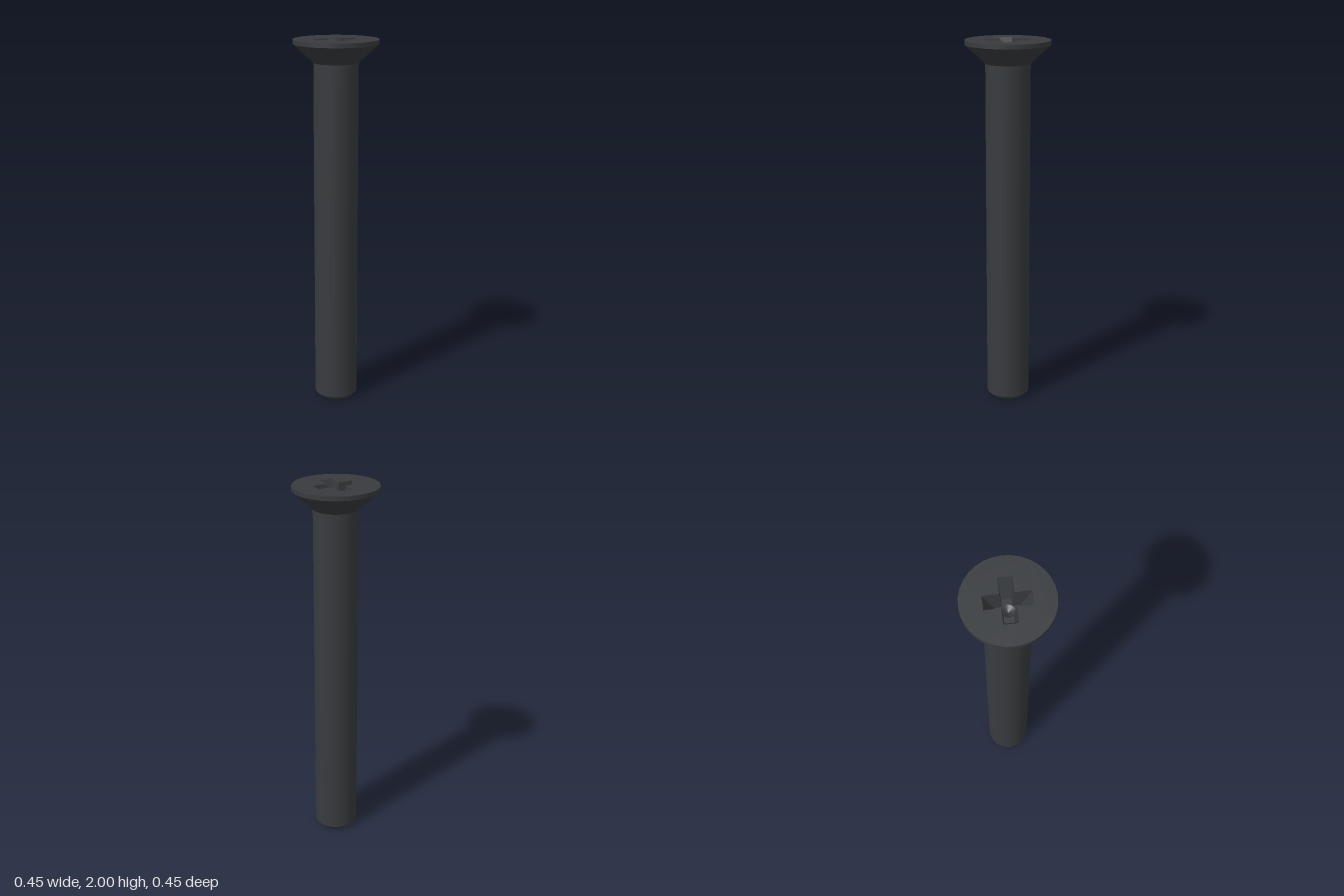
import * as THREE from 'three';

const SIDES = 32;
const HEAD_R = 0.224, SHAFT_R = 0.118;
const TOP = 2, FLOOR = 1.88, PIT_R = 0.033;

// Cross outline, counter-clockwise: arm reach and arm half-width
function crossPoints(reach, half) {
  const points = [];
  for (let i = 0; i < 4; i++) {
    for (const [x, y] of [[reach, -half], [reach, half], [half, half]]) {
      points.push(new THREE.Vector2(x, y).rotateAround(new THREE.Vector2(), i * Math.PI / 2));
    }
  }
  return points;
}

function circlePoints(radius) {
  return Array.from({ length: SIDES }, (_, i) => {
    const a = i / SIDES * Math.PI * 2;
    return new THREE.Vector2(radius * Math.cos(a), radius * Math.sin(a));
  });
}

// Horizontal face pointing up, with one hole
function flatFace(outline, hole, y) {
  const shape = new THREE.Shape(outline);
  shape.holes.push(new THREE.Path(hole));
  return new THREE.ShapeGeometry(shape).rotateX(-Math.PI / 2).translate(0, y, 0);
}

// Inward-facing walls between two matching outlines
function recessWalls(upper, lower) {
  const positions = [];
  const at = (p, y) => [p.x, y, -p.y];
  upper.forEach((p, i) => {
    const j = (i + 1) % upper.length;
    const a = at(p, TOP), b = at(upper[j], TOP);
    const c = at(lower[j], FLOOR), d = at(lower[i], FLOOR);
    positions.push(...a, ...b, ...c, ...a, ...c, ...d);
  });
  const geometry = new THREE.BufferGeometry();
  geometry.setAttribute('position', new THREE.Float32BufferAttribute(positions, 3));
  geometry.computeVertexNormals();
  return geometry;
}

export function createModel() {
  const group = new THREE.Group();
  const material = new THREE.MeshStandardMaterial({ color: 0x383b3e });

  const add = (name, geometry) => {
    const mesh = new THREE.Mesh(geometry, material);
    mesh.name = name;
    group.add(mesh);
  };
  // One ring per profile segment keeps the edges between rings sharp
  const ring = (name, r0, y0, r1, y1) => add(name, new THREE.LatheGeometry(
    [new THREE.Vector2(r0, y0), new THREE.Vector2(r1, y1)], SIDES));

  // Shaft with chamfered end
  ring('shaftEnd', 0, 0, 0.098, 0);
  ring('shaftChamfer', 0.098, 0, SHAFT_R, 0.022);
  ring('shaft', SHAFT_R, 0.022, SHAFT_R, 1.88);

  // Countersunk head
  ring('headCone', SHAFT_R, 1.88, HEAD_R, 1.977);
  ring('headRim', HEAD_R, 1.977, HEAD_R, TOP);

  // Tapered cross recess with a conical pit
  const upper = crossPoints(0.115, 0.035);
  const lower = crossPoints(0.06, 0.024);
  add('headTop', flatFace(circlePoints(HEAD_R), upper, TOP));
  add('recessWalls', recessWalls(upper, lower));
  add('recessFloor', flatFace(lower, circlePoints(PIT_R), FLOOR));
  ring('recessPit', PIT_R, FLOOR, 0, FLOOR - 0.02);

  return group;
}
